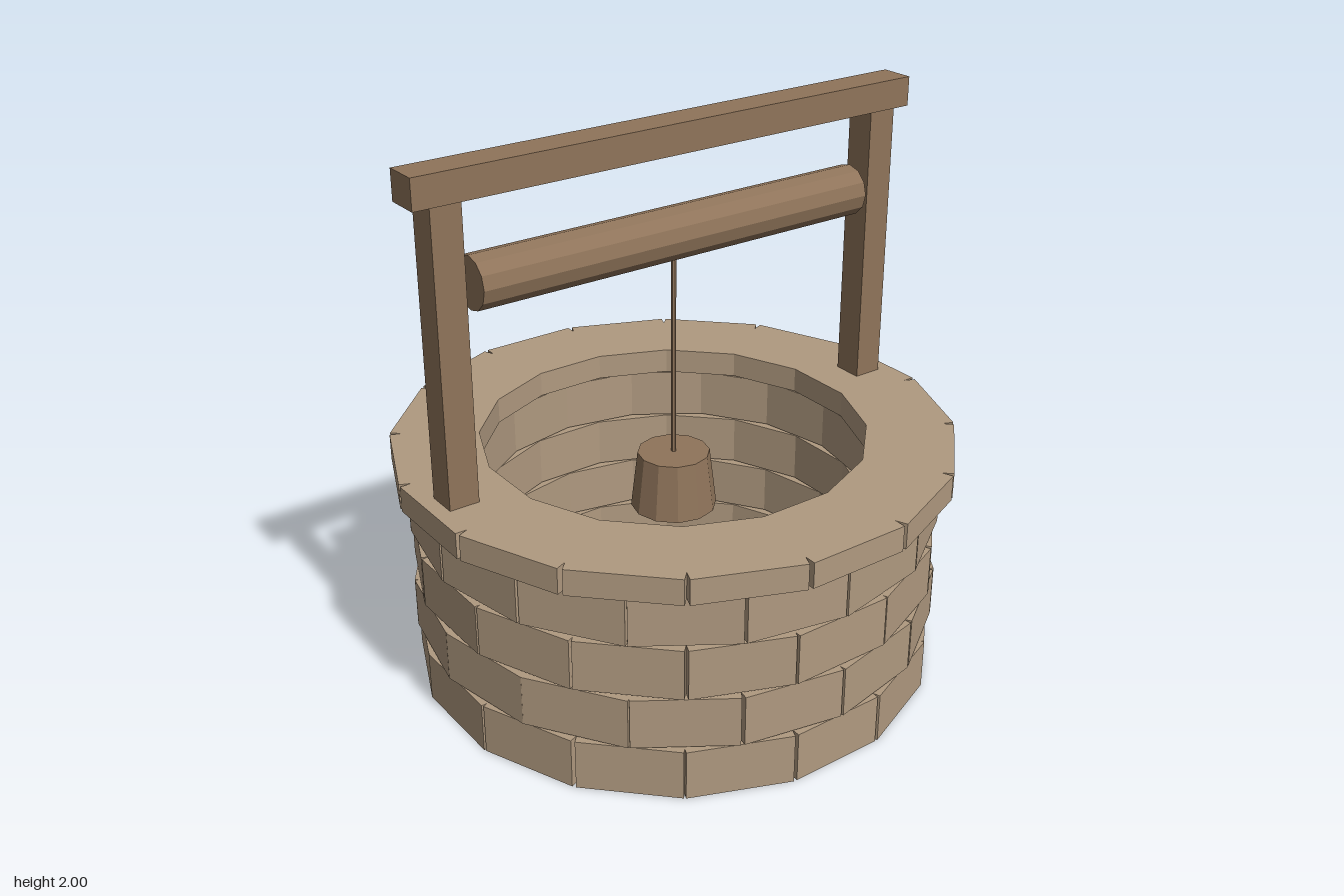
import * as THREE from 'three';

const STONE = new THREE.MeshStandardMaterial({ color: 0xb09a80, flatShading: true });
const WOOD = new THREE.MeshStandardMaterial({ color: 0x8f745a, flatShading: true });
const SIDES = 16;

// small seeded generator for uneven stone widths
let seed = 7;
const random = () => (seed = (seed * 16807) % 2147483647) / 2147483647;

function addMesh(parent, name, geometry, material, x = 0, y = 0, z = 0) {
  const mesh = new THREE.Mesh(geometry, material);
  mesh.name = name;
  mesh.position.set(x, y, z);
  parent.add(mesh);
  return mesh;
}

// ring of straight blocks; inner and outer are the distances to the block faces
function stoneRing(name, inner, outer, bottom, height, offset, width) {
  const ring = new THREE.Group();
  ring.name = name;
  for (let i = 0; i < SIDES; i++) {
    const angle = ((i + offset) / SIDES) * Math.PI * 2;
    const r = (inner + outer) / 2;
    const block = addMesh(ring, 'stone', new THREE.BoxGeometry(width(), height, outer - inner), STONE,
      Math.sin(angle) * r, bottom + height / 2, Math.cos(angle) * r);
    block.rotation.y = angle;
  }
  return ring;
}

export function createModel() {
  const well = new THREE.Group();
  well.name = 'well';

  // four staggered wall courses and a wider coping
  for (let row = 0; row < 4; row++) {
    well.add(stoneRing('wallCourse', 0.695, 0.93, row * 0.195, 0.184, (row % 2) / 2,
      () => 0.348 + 0.026 * random()));
  }
  well.add(stoneRing('coping', 0.675, 0.985, 0.777, 0.093, 0, () => 0.375));

  // frame: two posts and a top beam
  for (const side of [-1, 1]) {
    addMesh(well, side > 0 ? 'leftPost' : 'rightPost',
      new THREE.BoxGeometry(0.108, 1.17, 0.11), WOOD, side * 0.876, 1.315, 0);
  }
  addMesh(well, 'topBeam', new THREE.BoxGeometry(1.98, 0.105, 0.124), WOOD, 0, 1.9475, 0);

  // winding roller lying along x
  const roller = new THREE.CylinderGeometry(0.092, 0.092, 1.564, 12).rotateZ(Math.PI / 2);
  addMesh(well, 'roller', roller, WOOD, 0, 1.607, 0);

  // rope and hanging bucket
  addMesh(well, 'rope', new THREE.CylinderGeometry(0.009, 0.009, 0.83, 6), WOOD, 0, 1.19, 0);
  addMesh(well, 'bucket', new THREE.CylinderGeometry(0.13, 0.155, 0.21, 12), WOOD, 0, 0.677, 0);

  return well;
}
